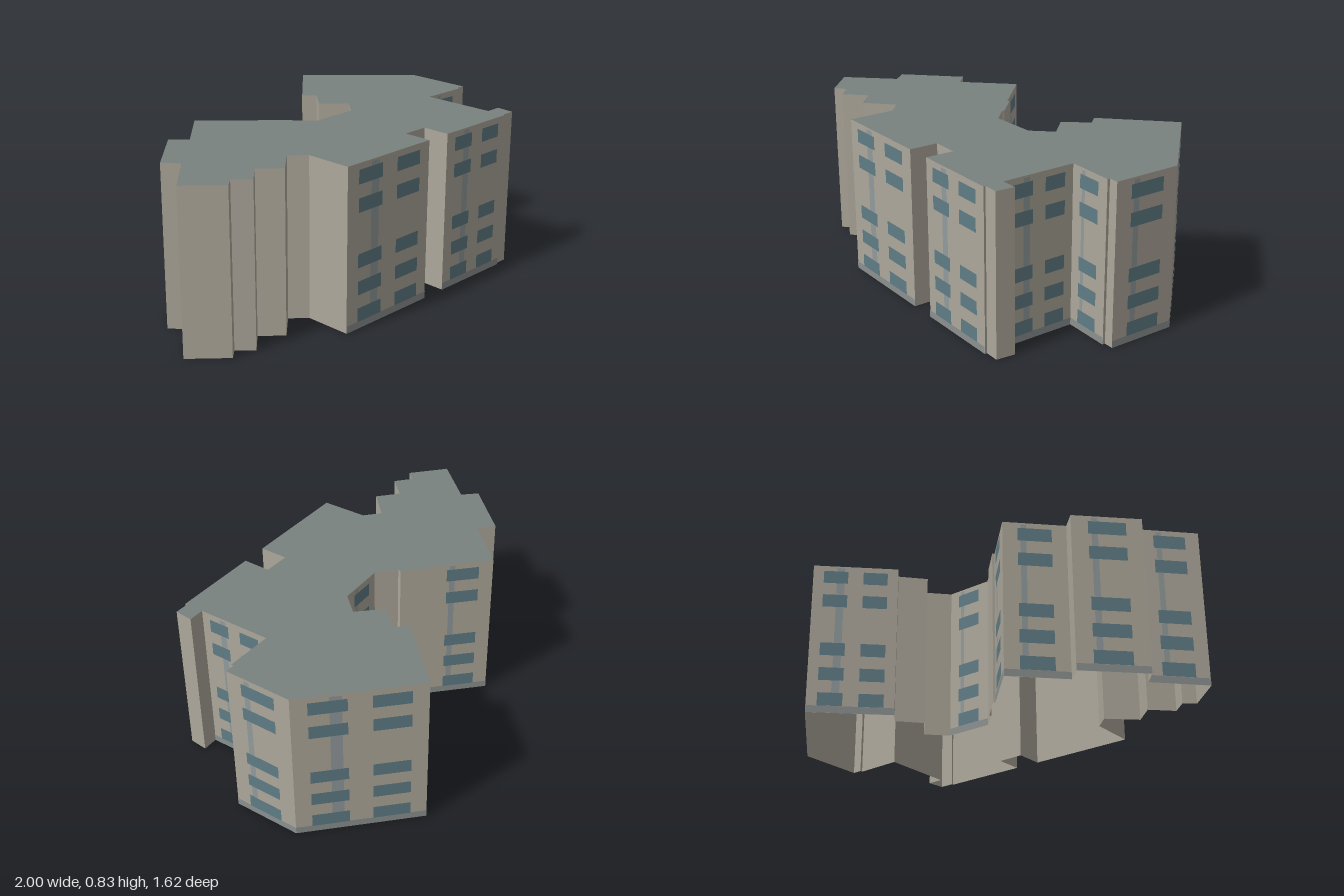
import * as THREE from 'three';
import { mergeGeometries } from 'three/addons/utils/BufferGeometryUtils.js';

const H = 0.834;          // building height
const STOREY = H / 6;

// Footprint corners [x, z, windows per storey on the wall that starts here]
const PLAN = [
  [0.29, -0.81, 2], [0.875, -0.54, 1], [0.998, -0.2, 0], [0.95, -0.183, 0], [0.955, -0.17, 1],
  [0.717, -0.088, 2], [0.855, 0.285, 0], [0.935, 0.255, 0], [0.96, 0.35, 0], [0.888, 0.376, 0],
  [0.892, 0.386, 2], [0.453, 0.55, 0], [0.404, 0.41, 0], [0.27, 0.457, 0], [0.322, 0.6, 2],
  [-0.215, 0.8, 0], [-0.302, 0.57, 0], [-0.398, 0.53, 0], [-0.48, 0.697, 0], [-0.606, 0.645, 0],
  [-0.666, 0.778, 0], [-0.76, 0.74, 0], [-0.793, 0.804, 0], [-1, 0.718, 1], [-0.88, 0.435, 0],
  [-0.967, 0.39, 1], [-0.82, 0.064, 0], [-0.724, 0.105, 1], [-0.595, -0.19, 1], [-0.302, -0.055, 0],
  [-0.297, -0.066, 0], [-0.142, 0.006, 0], [-0.138, 0.02, 0], [-0.025, 0.07, 1], [0.207, -0.022, 0],
  [0.26, -0.15, 0], [0.117, -0.22, 0], [0.172, -0.368, 0], [0.102, -0.405, 2],
];

// Window spans as fractions of the wall length, by window count
const SPANS = { 1: [[0.235, 0.765]], 2: [[0.125, 0.41], [0.59, 0.875]] };
const STOREYS = [0, 1, 2, 4, 5];

// Flat panel on the wall a-b, from fraction u0 to u1 (from its left seen outside) and y0 to y1
function panel(a, b, u0, u1, y0, y1, out = 0) {
  const dx = a[0] - b[0], dz = a[1] - b[1];
  const len = Math.hypot(dx, dz);
  const u = (u0 + u1) / 2;
  const g = new THREE.PlaneGeometry(len * (u1 - u0), y1 - y0);
  g.rotateY(Math.atan2(-dz, dx));
  g.translate(b[0] + dx * u - (dz / len) * out, (y0 + y1) / 2, b[1] + dz * u + (dx / len) * out);
  return g;
}

export function createModel() {
  const group = new THREE.Group();
  const add = (name, geometry, color, side = THREE.FrontSide) => {
    const mesh = new THREE.Mesh(geometry, new THREE.MeshStandardMaterial({ color, side }));
    mesh.name = name;
    group.add(mesh);
  };

  const walls = [], windows = [], strips = [], plinths = [];
  PLAN.forEach((a, i) => {
    const b = PLAN[(i + 1) % PLAN.length];
    walls.push(panel(a, b, 0, 1, 0, H));
    if (!a[2]) return;
    // Facade: plinth band, pale vertical strip, rows of windows
    plinths.push(panel(a, b, 0, 1, 0, 0.037, 0.002));
    strips.push(panel(a, b, 0.28, 0.37, 0.037, H - 0.01, 0.002));
    for (const [u0, u1] of SPANS[a[2]])
      for (const s of STOREYS) {
        const y = 0.037 + s * STOREY;
        windows.push(panel(a, b, u0, u1, y, y + 0.071, 0.004));
      }
  });

  // Flat roof over the footprint; the underside stays open
  const outline = new THREE.Shape(PLAN.map(([x, z]) => new THREE.Vector2(x, -z)));
  const roof = new THREE.ShapeGeometry(outline).rotateX(-Math.PI / 2).translate(0, H, 0);

  add('walls', mergeGeometries(walls), 0xaea89b, THREE.DoubleSide);
  add('roof', roof, 0x7a8280, THREE.DoubleSide);
  add('plinthBands', mergeGeometries(plinths), 0x8b9190);
  add('facadeStrips', mergeGeometries(strips), 0x929b9c);
  add('windows', mergeGeometries(windows), 0x607c85);
  return group;
}
